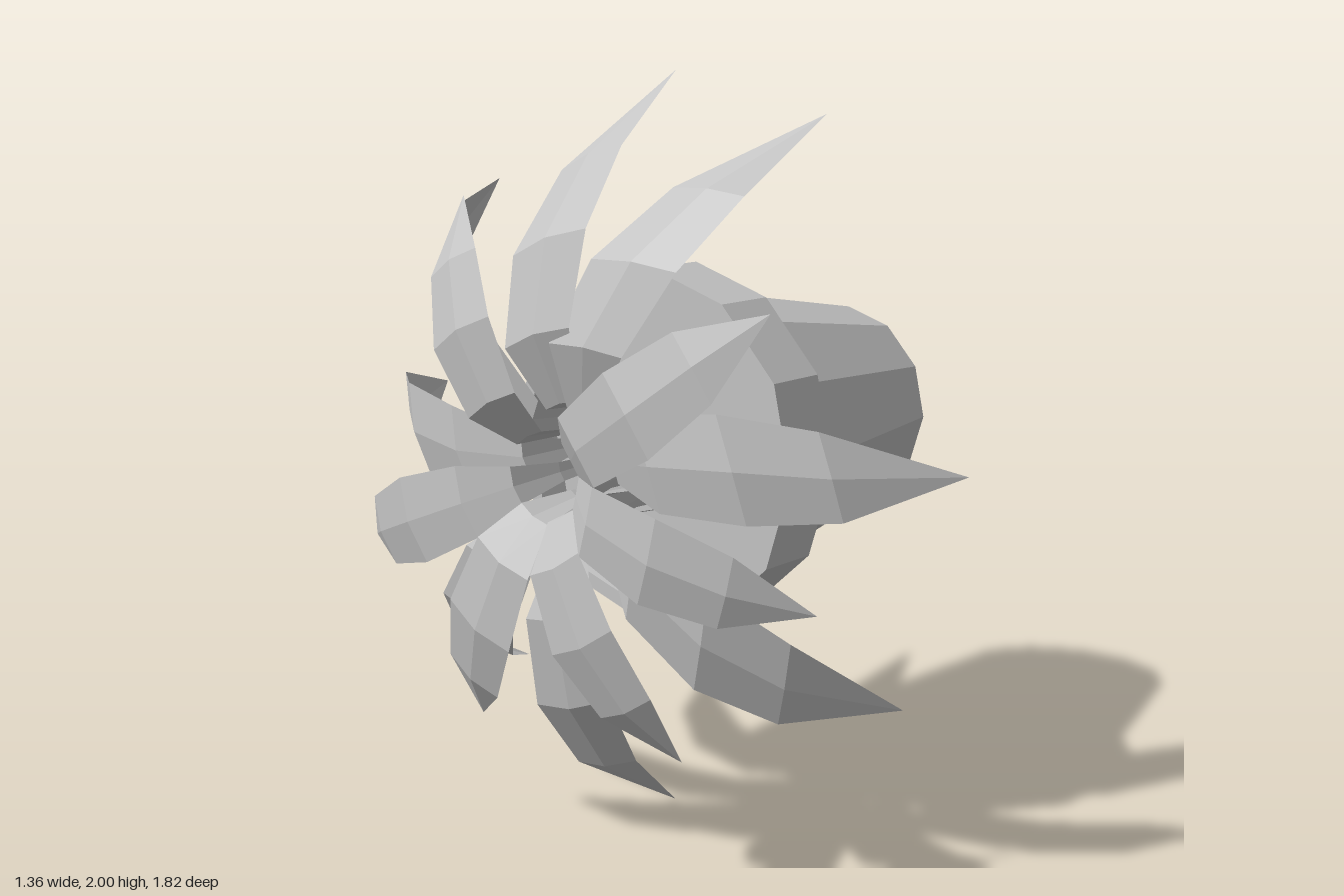
import * as THREE from 'three';

const AXIS_Y = 1.05, AXIS_Z = 0.02;

// Leaf spines: [share of tip radius, x position, half width]
const LONG = [[0.18, -0.12, 0.015], [0.15, -0.35, 0.025], [0.17, -0.48, 0.055], [0.36, -0.54, 0.12],
  [0.6, -0.48, 0.135], [0.8, -0.33, 0.11], [1, -0.02, 0]];
const SHORT = [[0.17, -0.12, 0.012], [0.12, -0.42, 0.025], [0.14, -0.57, 0.05], [0.28, -0.65, 0.095],
  [0.54, -0.66, 0.115], [0.78, -0.6, 0.095], [1, -0.48, 0]];

// Leaves: [tip x, tip y, tip z, sideways bow, roll]
const LONG_LEAVES = [[0, 2, -0.04, -0.035, 0.3], [0, 1.92, 0.445, -0.05, 0.45], [-0.035, 1.1, 0.91, -0.07, 0.3],
  [-0.065, 0.47, 0.765, 0, 0.5], [-0.09, 0, 0.03, -0.01, 0.3], [-0.085, 0.28, -0.545, 0, 0.5],
  [-0.04, 1.045, -0.91, 0, 0.3], [-0.015, 1.665, -0.69, 0, 0.5]];
const SHORT_LEAVES = [[-0.46, 1.525, 0.64, 0.03, 0], [-0.48, 0.85, 0.8, 0, 0], [-0.5, 0.375, 0.41, 0, 0],
  [-0.5, 0.305, -0.3, -0.02, 0], [-0.5, 0.725, -0.71, 0, 0], [-0.47, 1.7, -0.345, 0, 0]];

// Curved strip, three points across, lightly folded along the middle
function leafGeometry(spine, [tx, ty, tz, bow, roll]) {
  const dy = ty - AXIS_Y, dz = tz - AXIS_Z, R = Math.hypot(dy, dz);
  const cy = dy / R, cz = dz / R;
  const endX = spine[spine.length - 1][1];
  const pos = [], index = [];
  spine.forEach(([u, px, w], i) => {
    const x = px + (tx - endX) * u * u;
    for (const s of [-1, 0, 1]) {
      const fold = (s ? 1 : -1) * w * 0.05;
      const out = u * R - fold + w * s * Math.sin(roll);
      const across = bow * Math.sin(Math.PI * u) + w * s * Math.cos(roll);
      pos.push(x + fold, AXIS_Y + cy * out - cz * across, AXIS_Z + cz * out + cy * across);
    }
    if (i === 0) return;
    for (let k = 0; k < 2; k++) {
      const a = (i - 1) * 3 + k, b = a + 3;
      index.push(a, a + 1, b + 1);
      if (i < spine.length - 1) index.push(a, b + 1, b);
    }
  });
  const g = new THREE.BufferGeometry();
  g.setAttribute('position', new THREE.Float32BufferAttribute(pos, 3));
  g.setIndex(index);
  g.computeVertexNormals();
  return g;
}

export function createModel() {
  const group = new THREE.Group();
  const grey = new THREE.MeshStandardMaterial({ color: 0xc4c4c4, flatShading: true, side: THREE.DoubleSide });
  grey.name = 'light grey';

  // Pot lying on its side, opening towards -x
  const pot = new THREE.Group();
  pot.name = 'pot';
  pot.position.set(0.675, 1.0, 0.025);
  pot.rotation.z = THREE.MathUtils.degToRad(87.25);
  const lathe = (name, points) => {
    const mesh = new THREE.Mesh(new THREE.LatheGeometry(points.map(p => new THREE.Vector2(...p)), 12), grey);
    mesh.name = name;
    pot.add(mesh);
  };
  lathe('potBody', [[0, 0], [0.282, 0], [0.398, 0.69], [0.403, 0.72]]);
  lathe('potRim', [[0.403, 0.72], [0.43, 0.72], [0.448, 0.695], [0.475, 0.695],
    [0.475, 0.872], [0.435, 0.872], [0.42, 0.79]]);
  lathe('soil', [[0.42, 0.79], [0, 0.79]]);
  group.add(pot);

  // Leaves fanning out of the opening and curling back
  const leaves = new THREE.Group();
  leaves.name = 'leaves';
  const addLeaves = (name, spine, list) => list.forEach((shape, i) => {
    const leaf = new THREE.Mesh(leafGeometry(spine, shape), grey);
    leaf.name = name + (i + 1);
    leaves.add(leaf);
  });
  addLeaves('longLeaf', LONG, LONG_LEAVES);
  addLeaves('shortLeaf', SHORT, SHORT_LEAVES);
  group.add(leaves);
  return group;
}
